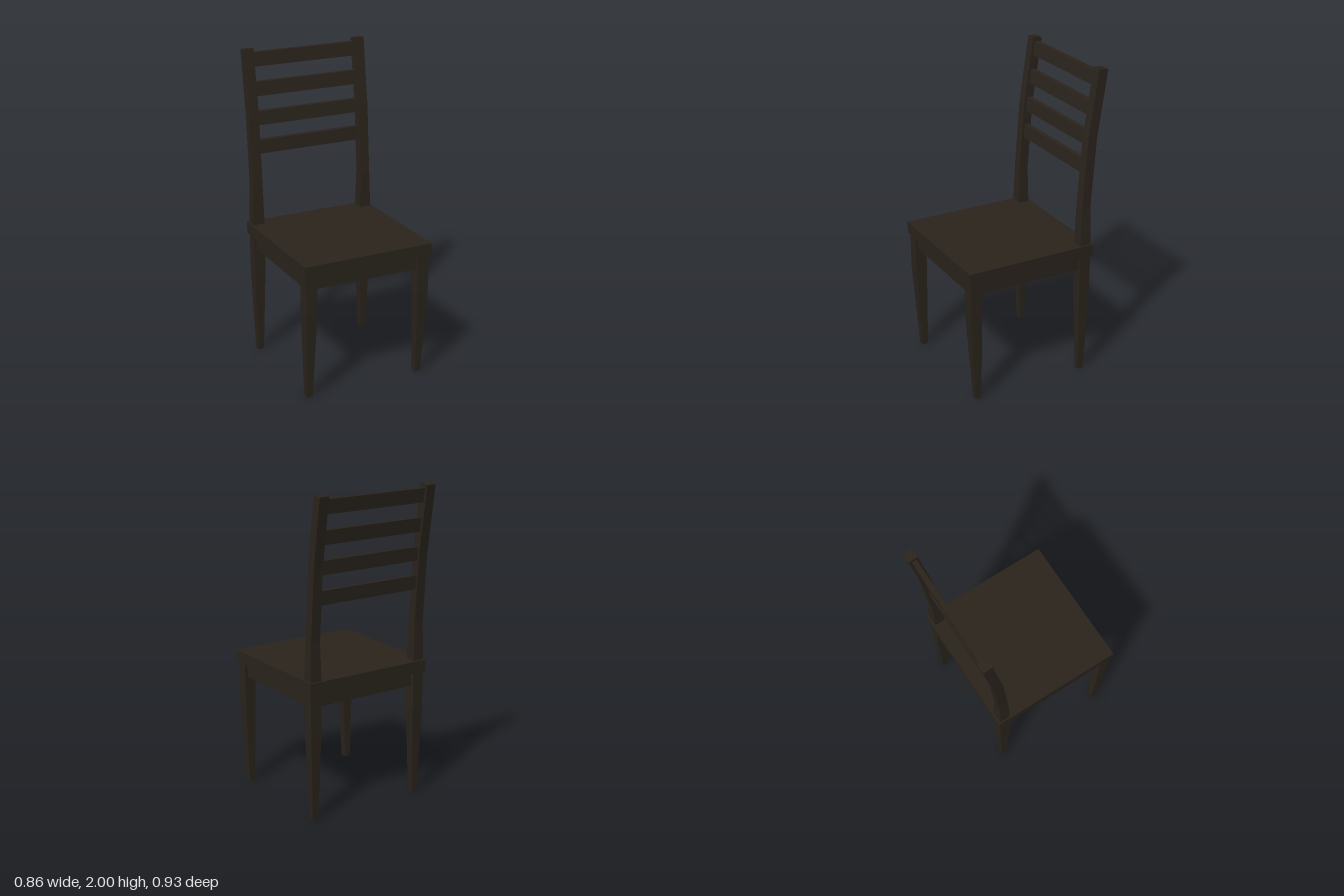
import * as THREE from 'three';

const wood = new THREE.MeshStandardMaterial({ color: 0x2a241c, flatShading: true });

// Rectangular loft: sections from bottom to top, each [y, x0, x1, zBack, zFront, backDrop]
function loft(sections) {
  const pos = [], index = [];
  for (const [y, xa, xb, zb, zf, drop = 0] of sections) {
    const x0 = Math.min(xa, xb), x1 = Math.max(xa, xb);
    pos.push(x0, y, zf, x1, y, zf, x1, y - drop, zb, x0, y - drop, zb);
  }
  for (let s = 0; s < sections.length - 1; s++) {
    for (let i = 0; i < 4; i++) {
      const a = s * 4 + i, b = s * 4 + (i + 1) % 4;
      index.push(a, b, b + 4, a, b + 4, a + 4);
    }
  }
  const t = (sections.length - 1) * 4;
  index.push(0, 2, 1, 0, 3, 2, t, t + 1, t + 2, t, t + 2, t + 3);
  const indexed = new THREE.BufferGeometry();
  indexed.setAttribute('position', new THREE.Float32BufferAttribute(pos, 3));
  indexed.setIndex(index);
  const geometry = indexed.toNonIndexed();
  geometry.computeVertexNormals();
  return geometry;
}

// Centre line of the bent back posts: [y, z]
const spine = [[1.13, -0.341], [1.57, -0.373], [2, -0.435]];
function spineZ(y) {
  const i = y < spine[1][0] ? 0 : 1;
  const [y0, z0] = spine[i], [y1, z1] = spine[i + 1];
  return z0 + (z1 - z0) * (y - y0) / (y1 - y0);
}

export function createModel() {
  const group = new THREE.Group();
  const add = (name, geometry) => {
    const mesh = new THREE.Mesh(geometry, wood);
    mesh.name = name;
    group.add(mesh);
    return mesh;
  };
  const box = (name, x0, x1, y0, y1, z0, z1) =>
    add(name, new THREE.BoxGeometry(x1 - x0, y1 - y0, z1 - z0))
      .position.set((x0 + x1) / 2, (y0 + y1) / 2, (z0 + z1) / 2);

  // Seat slab and the recessed block under it
  box('seat', -0.43, 0.43, 0.81, 0.885, -0.39, 0.467);
  box('apron', -0.4, 0.4, 0.72, 0.81, -0.355, 0.435);

  for (const [s, side] of [[1, 'left'], [-1, 'right']]) {
    // Tapered front leg, straight on its inner face
    add(side + 'FrontLeg', loft([
      [0, s * 0.361, s * 0.4, 0.38, 0.419],
      [0.56, s * 0.345, s * 0.418, 0.38, 0.455],
      [0.81, s * 0.343, s * 0.42, 0.38, 0.455],
    ]));
    // Back leg running up into the bent back post
    add(side + 'BackPost', loft([
      [0, s * 0.361, s * 0.4, -0.36, -0.322],
      [0.56, s * 0.345, s * 0.418, -0.376, -0.306],
      [0.885, s * 0.344, s * 0.42, -0.376, -0.305],
      [1.13, s * 0.35, s * 0.413, -0.371, -0.311],
      [1.57, s * 0.35, s * 0.413, -0.403, -0.343],
      [2, s * 0.35, s * 0.413, -0.466, -0.405, 0.008],
    ]));
  }

  // Back slats leaning with the posts
  for (let i = 0; i < 4; i++) {
    const y0 = 1.342 + i * 0.181;
    const section = (y) => [y, -0.36, 0.36, spineZ(y) - 0.015, spineZ(y) + 0.015];
    add('backSlat' + (i + 1), loft([section(y0), section(y0 + 0.087)]));
  }
  return group;
}
